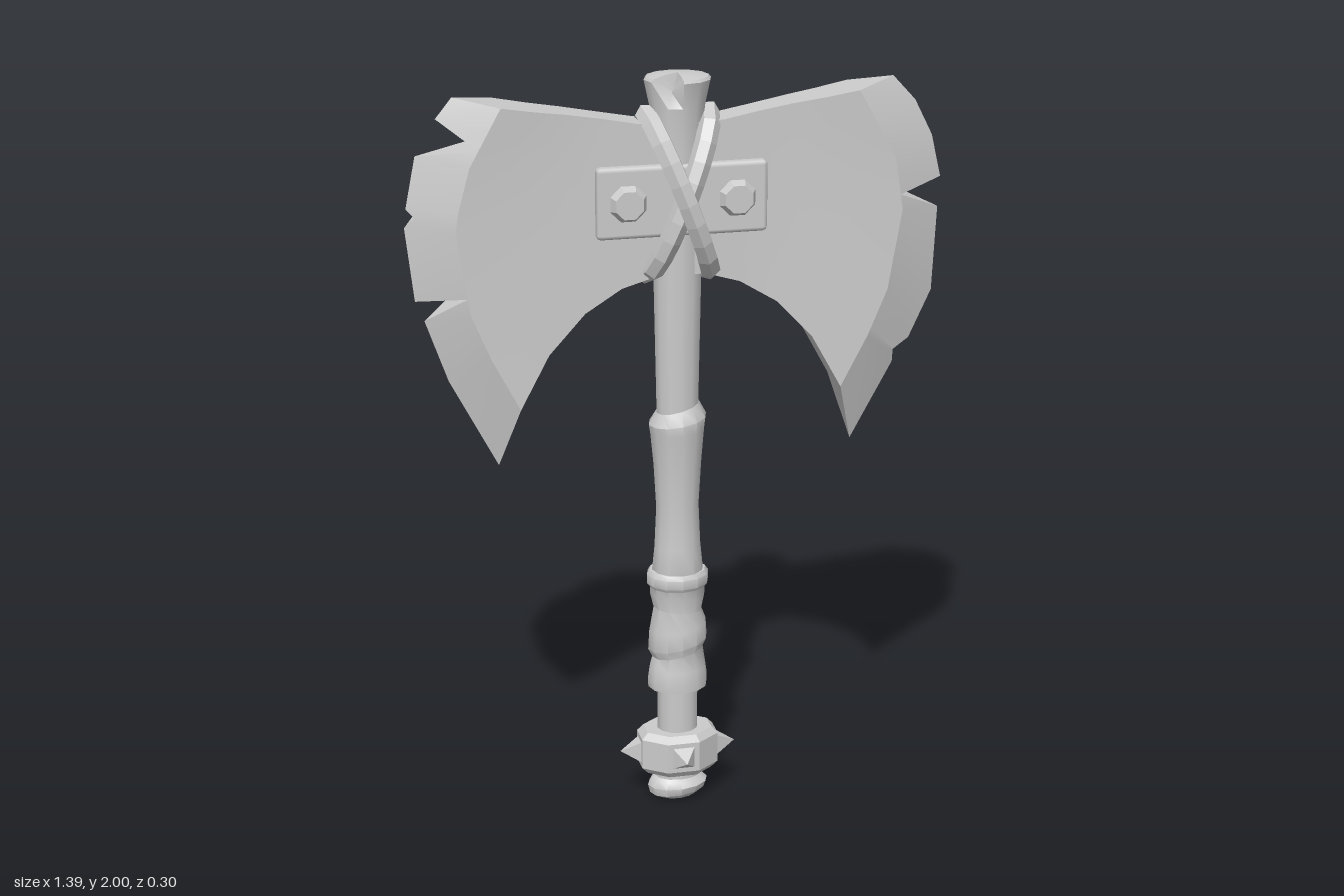
import * as THREE from 'three';
import { toCreasedNormals } from 'three/addons/utils/BufferGeometryUtils.js';
import { RoundedBoxGeometry } from 'three/addons/geometries/RoundedBoxGeometry.js';

const mat = new THREE.MeshStandardMaterial({ color: 0xcccccc });
const flat = new THREE.MeshStandardMaterial({ color: 0xcccccc, flatShading: true });
const lerp = THREE.MathUtils.lerp;

function add(parent, name, geometry, material = mat) {
  const mesh = new THREE.Mesh(geometry, material);
  mesh.name = name;
  parent.add(mesh);
  return mesh;
}

// Turned part from [radius, y, tilt] points; tilt slants that ring along x.
function turned(profile, depth, tweak = () => {}) {
  const g = new THREE.LatheGeometry(profile.map(([r, y]) => new THREE.Vector2(r, y)), 12);
  const p = g.attributes.position, v = new THREE.Vector3();
  for (let i = 0; i < p.count; i++) {
    v.fromBufferAttribute(p, i);
    tweak(v);
    v.y += v.x * (profile[i % profile.length][2] || 0);
    p.setXYZ(i, v.x, v.y, v.z * depth);
  }
  return toCreasedNormals(g, 0.65);
}

// Blade border: upper and lower curves from the haft to the ridge, and the ridge itself.
const TOP = [[0, 1.88], [0.11, 1.885], [0.2, 1.902], [0.29, 1.918], [0.37, 1.93], [0.455, 1.945]];
const LOW = [[0, 1.49], [0.063, 1.49], [0.153, 1.463], [0.249, 1.405], [0.344, 1.304], [0.42, 1.166]];
const HALF = [0.045, 0.045, 0.043, 0.048, 0.055, 0.062];
const RIDGE = [[0.455, 1.945], [0.555, 1.765], [0.577, 1.616], [0.54, 1.42], [0.49, 1.3], [0.42, 1.166]];

function ridgeX(y) {
  for (let i = 1; i < RIDGE.length; i++) {
    const [x0, y0] = RIDGE[i - 1], [x1, y1] = RIDGE[i];
    if (y >= y1) return lerp(x0, x1, (y0 - y) / (y0 - y1));
  }
  return RIDGE.at(-1)[0];
}

// One row per edge point [x, y, ridgeY, halfThickness]; a notch is a row with a thick, inset edge point.
function bladeGeometry(edge, side) {
  const last = TOP.length - 1;
  const rows = edge.map(([ex, ey, ry, ez = 0]) => {
    const t = (TOP[last][1] - ry) / (TOP[last][1] - LOW[last][1]);
    const bulge = ridgeX(ry) - lerp(TOP[last][0], LOW[last][0], t);
    const row = TOP.map(([x, y], c) => [
      lerp(x, LOW[c][0], t) + bulge * (c / last) ** 2, lerp(y, LOW[c][1], t), HALF[c]]);
    row.push(ez === HALF[last] ? [...row[last]] : [ex, ey, ez]);
    return row;
  });
  const pos = [];
  const tri = (a, b, c) => {
    const pts = [a, b, c].map(q => new THREE.Vector3(q[0] * side, q[1], q[2]));
    if (new THREE.Triangle(...pts).getArea() < 1e-7) return;
    if (side < 0) pts.reverse();
    pts.forEach(q => pos.push(q.x, q.y, q.z));
  };
  const quad = (a, b, c, d) => { tri(a, b, c); tri(a, c, d); };
  const back = q => [q[0], q[1], -q[2]];
  const n = rows.length - 1;
  for (let i = 0; i < n; i++) {
    for (let c = 0; c <= last; c++) {
      const a = rows[i][c], b = rows[i][c + 1], d = rows[i + 1][c], e = rows[i + 1][c + 1];
      quad(a, d, e, b);
      quad(back(a), back(b), back(e), back(d));
    }
    const f = rows[i][last + 1], g = rows[i + 1][last + 1];
    quad(f, g, back(g), back(f));
  }
  for (let c = 0; c <= last; c++) {
    const a = rows[0][c], b = rows[0][c + 1], d = rows[n][c], e = rows[n][c + 1];
    quad(a, b, back(b), back(a));
    quad(d, back(d), back(e), e);
  }
  const geo = new THREE.BufferGeometry();
  geo.setAttribute('position', new THREE.Float32BufferAttribute(pos, 3));
  return toCreasedNormals(geo, 0.3);
}

export function createModel() {
  const axe = new THREE.Group();
  axe.name = 'battleAxe';

  // Haft, with a split in its flared top
  add(axe, 'haft', turned([
    [0.055, 0.1], [0.055, 0.6], [0.055, 1.1], [0.062, 1.45], [0.066, 1.8], [0.072, 1.92],
    [0.086, 1.985], [0.08, 1.992], [0.045, 1.998], [0, 2]], 0.87, v => {
    if (v.y > 1.95 && v.x < -0.02 && v.x > -0.05 && v.z > 0.03) { v.x *= 0.5; v.z *= 0.5; v.y -= 0.03; }
  }));

  // Sleeve with a slanted upper lip
  add(axe, 'haftSleeve', turned([
    [0.055, 0.62], [0.07, 0.66], [0.062, 0.74], [0.057, 0.85], [0.064, 0.97],
    [0.072, 1.06, 0.1], [0.076, 1.09, 0.15], [0.056, 1.125, 0.25]], 0.95));

  // Wrapped grip
  add(axe, 'grip', turned([
    [0.055, 0.33], [0.08, 0.335], [0.081, 0.36], [0.077, 0.39], [0.068, 0.435, 0.2], [0.08, 0.46, 0.2],
    [0.077, 0.51, 0.15], [0.065, 0.56, -0.1], [0.074, 0.6, -0.05], [0.075, 0.625],
    [0.083, 0.635], [0.083, 0.66], [0.075, 0.672], [0.055, 0.675]], 0.87));

  // Pommel
  add(axe, 'pommel', turned([
    [0, 0.004], [0.05, 0.008, 0.05], [0.076, 0.025, 0.1], [0.082, 0.045, 0.05], [0.072, 0.06], [0.062, 0.068], [0.06, 0.12]], 0.72));

  // Octagonal studded band
  const band = new THREE.Group();
  band.name = 'studdedBand';
  band.position.y = 0.15;
  band.scale.z = 0.76;
  axe.add(band);
  const ring = [[0.05, -0.06], [0.095, -0.06], [0.113, -0.042], [0.113, 0.042], [0.095, 0.06], [0.05, 0.06]];
  add(band, 'bandRing', new THREE.LatheGeometry(ring.map(q => new THREE.Vector2(...q)), 8), flat).rotation.y = Math.PI / 8;
  for (let i = 0; i < 4; i++) {
    const spike = new THREE.ConeGeometry(0.046, 0.06, 4).rotateY(Math.PI / 4).rotateX(Math.PI / 2).translate(0, 0, 0.128);
    add(band, 'spike', spike, flat).rotation.y = i * Math.PI / 2;
  }

  // Chipped blades
  add(axe, 'leftBlade', bladeGeometry([
    [0.56, 1.965, 1.945], [0.62, 1.9, 1.86], [0.667, 1.807, 1.77], [0.693, 1.696, 1.69], [0.565, 1.67, 1.67, 0.062],
    [0.688, 1.617, 1.63], [0.678, 1.394, 1.42], [0.62, 1.267, 1.32], [0.573, 1.243, 1.3, 0.018],
    [0.577, 1.204, 1.28], [0.466, 1.0, 1.166]], 1));
  add(axe, 'rightBlade', bladeGeometry([
    [0.566, 1.965, 1.945], [0.608, 1.913, 1.88], [0.513, 1.844, 1.842, 0.062], [0.661, 1.823, 1.8],
    [0.688, 1.69, 1.69], [0.668, 1.67, 1.67, 0.012], [0.693, 1.643, 1.64], [0.672, 1.452, 1.49],
    [0.545, 1.468, 1.467, 0.062], [0.65, 1.4, 1.42], [0.593, 1.236, 1.3], [0.47, 1.0, 1.166]], -1));

  // Riveted plate through the middle
  add(axe, 'plate', new RoundedBoxGeometry(0.44, 0.185, 0.13, 1, 0.012).translate(0, 1.688, 0));
  for (const x of [-0.14, 0.14]) for (const s of [-1, 1]) {
    const rivet = new THREE.CylinderGeometry(0.038, 0.05, 0.022, 8).rotateY(Math.PI / 8).rotateX(s * Math.PI / 2);
    add(axe, 'rivet', rivet.translate(x, 1.688, s * 0.075), flat);
  }

  // Crossed lashings around the head
  for (const [s, depth] of [[-1, 0.12], [1, 0.1]]) {
    const pts = [];
    for (let i = 0; i < 12; i++) {
      const a = i / 12 * Math.PI * 2;
      pts.push(new THREE.Vector3(s * 0.08 * Math.cos(a), 1.692 + 0.205 * Math.cos(a), depth * Math.sin(a)));
    }
    const curve = new THREE.CatmullRomCurve3(pts, true);
    add(axe, 'lashing', new THREE.TubeGeometry(curve, 20, 0.028, 6, true), flat);
  }
  return axe;
}
